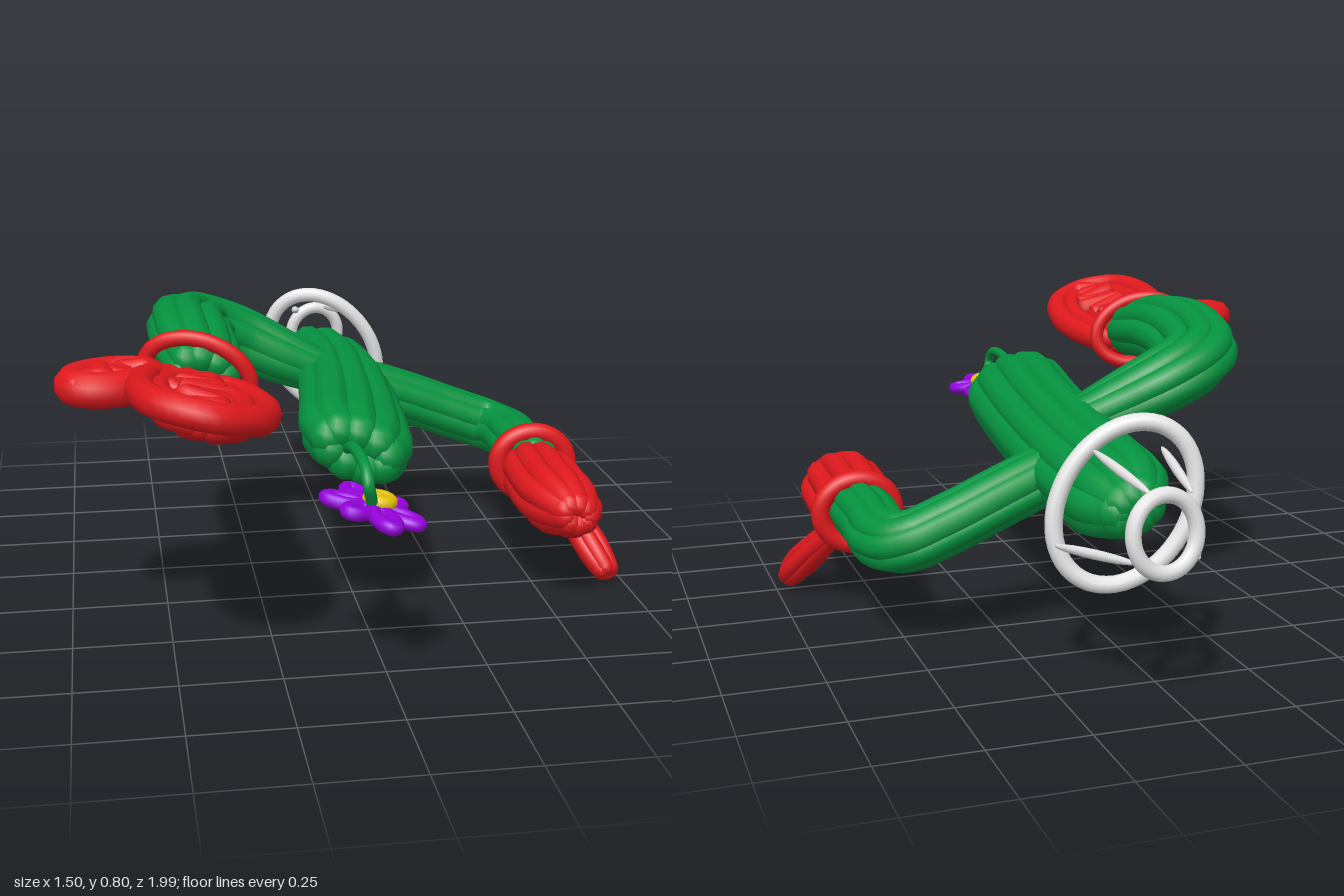
import * as THREE from 'three';
import { mergeGeometries } from 'three/addons/utils/BufferGeometryUtils.js';

const mat = (name, color) => Object.assign(new THREE.MeshStandardMaterial({ color }), { name });
const V = (x, y, z) => new THREE.Vector3(x, y, z);
const vecs = (pts) => pts.map((p) => (p.isVector3 ? p : V(...p)));

// Soft round-ended strand along a smooth path
function strand(pts, r, closed = false, segs = 40) {
  const curve = new THREE.CatmullRomCurve3(vecs(pts), closed);
  const parts = [new THREE.TubeGeometry(curve, segs, r, 10, closed)];
  if (!closed) {
    for (const t of [0, 1]) {
      const p = curve.getPointAt(t);
      parts.push(new THREE.SphereGeometry(r, 10, 8).translate(p.x, p.y, p.z));
    }
  }
  return mergeGeometries(parts);
}

// Strand tapering to a point at both ends
function spike(a, b, r) {
  const axis = b.clone().sub(a), mid = a.clone().add(b).multiplyScalar(0.5);
  const q = new THREE.Quaternion().setFromUnitVectors(V(0, 1, 0), axis.clone().normalize());
  return new THREE.SphereGeometry(1, 8, 12).scale(r, axis.length() / 2, r)
    .applyQuaternion(q).translate(mid.x, mid.y, mid.z);
}

// Ribbed limb: strands set around an oval that follows the path, rounded in towards the ends
function bundle(pts, a, b, r, n, { pinch = [0.7, 0.8], ramp = [0.1, 0.1], flare = 0, up = V(0.41, 0.91, 0) }) {
  const curve = new THREE.CatmullRomCurve3(vecs(pts));
  const steps = 18, ribs = [];
  for (let k = 0; k < n; k++) {
    const ang = ((k + 0.5) / n) * Math.PI * 2, path = [];
    for (let i = 0; i <= steps; i++) {
      const t = i / steps, tan = curve.getTangentAt(t);
      const side = up.clone().cross(tan).normalize();
      const top = tan.clone().cross(side);
      const e0 = Math.max(0, 1 - t / ramp[0]), e1 = Math.max(0, 1 - (1 - t) / ramp[1]);
      const s = 1 - (1 - pinch[0]) * e0 * e0 - (1 - pinch[1]) * e1 * e1;
      path.push(curve.getPointAt(t)
        .addScaledVector(side, a * s * (1 + flare * t) * Math.cos(ang))
        .addScaledVector(top, b * s * Math.sin(ang)));
    }
    ribs.push(strand(path, r));
  }
  return mergeGeometries(ribs);
}

// Maps local (across, height, along) to the model
function frame(o, across, along) {
  const u = V(...across).normalize(), l = V(...along).normalize();
  const h = l.clone().cross(u).normalize();
  return (s, y, d) => V(...o).addScaledVector(u, s).addScaledVector(h, y).addScaledVector(l, d);
}

// Closed oval strand lying in a frame
function oval(f, a, b, r, y = 0) {
  const pts = [];
  for (let i = 0; i < 16; i++) {
    const t = (i / 16) * Math.PI * 2;
    pts.push(f(a * Math.cos(t), y, b * Math.sin(t)));
  }
  return strand(pts, r, true, 56);
}

// Uneven zigzag filling of an oval
function zigzag(f, a, b, r, turns, y) {
  const pts = [];
  for (let i = 0; i <= turns; i++) {
    const d = -1 + (2 * i) / turns;
    const w = a * Math.sqrt(Math.max(0.1, 1 - d * d)) * (0.8 + 0.2 * Math.sin(i * 2.3));
    pts.push(f(i % 2 ? w : -w, y + 0.008 * Math.sin(i * 1.7), d * b));
  }
  return strand(pts, r, false, 120);
}

export function createModel() {
  const green = mat('cactus green', 0x059440), red = mat('glove red', 0xe0191d);
  const white = mat('pot white', 0xe4e4e4), purple = mat('petal purple', 0x9602dc);
  const yellow = mat('flower yellow', 0xe6c208);
  const root = new THREE.Group();
  root.name = 'cactus';
  const add = (name, material, ...geos) => {
    const mesh = new THREE.Mesh(mergeGeometries(geos), material);
    mesh.name = name;
    root.add(mesh);
  };

  // Trunk and bent arms
  add('trunk', green, bundle([[0.046, 0.432, -0.695], [0.05, 0.465, -0.3], [0.018, 0.485, 0.1], [-0.038, 0.505, 0.535]],
    0.089, 0.052, 0.05, 9, { pinch: [0.5, 0.72], flare: 0.2 }));
  add('rightArm', green, bundle([[0.0, 0.51, -0.13], [-0.14, 0.57, -0.15], [-0.27, 0.63, -0.165], [-0.37, 0.67, -0.12],
    [-0.405, 0.695, 0.0], [-0.41, 0.708, 0.18], [-0.4, 0.68, 0.4]], 0.078, 0.05, 0.042, 8, { pinch: [0.3, 0.7], ramp: [0.45, 0.2] }));
  add('leftArm', green, bundle([[0.1, 0.44, -0.31], [0.25, 0.385, -0.33], [0.4, 0.325, -0.34], [0.51, 0.285, -0.33],
    [0.55, 0.28, -0.25], [0.55, 0.285, -0.12], [0.555, 0.285, 0.05]], 0.047, 0.04, 0.038, 8, { pinch: [0.8, 0.85] }));

  // Open mitten on the right hand: padded palm inside a thick rim
  const palm = frame([-0.425, 0.692, 0.7], [1, -0.24, 0], [0, 0.13, 1]);
  add('rightMittenRim', red, strand([palm(-0.1, 0, -0.24), palm(-0.135, 0, -0.08), palm(-0.142, 0, 0.08), palm(-0.105, 0, 0.21),
    palm(0, 0, 0.258), palm(0.1, 0, 0.2), palm(0.145, 0, 0.06), palm(0.142, 0, -0.12), palm(0.1, 0, -0.24), palm(0, 0, -0.275)],
    0.036, true, 60));
  add('rightMittenPalm', red, zigzag(palm, 0.075, 0.22, 0.03, 15, 0.008),
    oval(palm, 0.1, 0.22, 0.028), oval(palm, 0.045, 0.16, 0.03, -0.01));
  add('rightMittenBack', red, bundle([[-0.42, 0.645, 0.43], [-0.43, 0.65, 0.6], [-0.425, 0.685, 0.86]],
    0.09, 0.025, 0.034, 8, { pinch: [0.6, 0.4], ramp: [0.15, 0.25], up: V(0.24, 0.95, 0) }));
  const thumbR = frame([-0.625, 0.685, 0.485], [0.72, -0.04, 0.69], [-0.8, 0.02, 0.6]);
  add('rightThumb', red, oval(thumbR, 0.066, 0.1, 0.045), zigzag(thumbR, 0.035, 0.11, 0.032, 7, 0.012));
  const wristR = frame([-0.415, 0.67, 0.405], [0.95, -0.3, 0.2], [0.25, 0.88, 0.2]);
  add('rightCuff', red, oval(wristR, 0.135, 0.095, 0.02));

  // Closed mitten on the left hand
  add('leftMitten', red, bundle([[0.555, 0.275, 0.05], [0.545, 0.27, 0.2], [0.54, 0.27, 0.32], [0.548, 0.275, 0.46]],
    0.084, 0.06, 0.036, 9, { pinch: [0.5, 0.4], ramp: [0.35, 0.35] }));
  add('leftThumb', red, bundle([[0.6, 0.225, 0.07], [0.65, 0.14, 0.17], [0.7, 0.042, 0.285]],
    0.042, 0.022, 0.025, 6, { pinch: [0.2, 0.55], ramp: [0.8, 0.3], up: V(0.7, 0.5, 0.3) }));
  const wristL = frame([0.555, 0.275, 0.03], [1, -0.1, 0.05], [0.1, 1, 0]);
  add('leftCuff', red, oval(wristL, 0.1, 0.09, 0.027));

  // Open wire pot around the base
  const rim = frame([0.06, 0.44, -0.695], [1, -0.1, 0.19], [-0.18, 1, 0.1]);
  const foot = frame([0.07, 0.44, -0.965], [1, 0, -0.1], [0, 1, 0.12]);
  add('potRim', white, oval(rim, 0.17, 0.195, 0.022));
  add('potFoot', white, oval(foot, 0.08, 0.088, 0.019));
  add('potSpokes', white, ...[
    [[-0.085, 0.37, -0.74], [-0.02, 0.37, -0.95]], [[-0.025, 0.575, -0.71], [0, 0.525, -0.95]],
    [[0.14, 0.575, -0.69], [0.1, 0.53, -0.95]], [[0.235, 0.35, -0.68], [0.14, 0.38, -0.97]],
  ].map(([a, b]) => spike(V(...a), V(...b), 0.012)));

  // Face on the underside
  [[-0.08, 0.412], [0.038, 0.368]].forEach(([x, y], i) => {
    const f = frame([x, y, 0.21], [0.93, -0.38, 0], [0, 0, 1]);
    add(i ? 'leftEye' : 'rightEye', white, oval(f, 0.03, 0.05, 0.017));
  });
  add('mouth', red, strand([[-0.06, 0.40, 0.08], [-0.02, 0.38, 0.04], [0.04, 0.36, 0.04], [0.08, 0.35, 0.08]], 0.008));
  add('teeth', white, spike(V(-0.05, 0.39, -0.05), V(0.08, 0.345, -0.06), 0.009));

  // Flower hanging from the top
  add('flowerStem', green, strand([[-0.065, 0.51, 0.55], [-0.07, 0.545, 0.65], [-0.07, 0.56, 0.75], [-0.068, 0.55, 0.83],
    [-0.066, 0.52, 0.858], [-0.055, 0.475, 0.84]], 0.014));
  const bloom = frame([-0.045, 0.449, 0.81], [1, -0.22, 0], [0, 0, 1]);
  const petals = [[-0.045, -0.13], [0.078, -0.055], [0.1, 0.082], [0.022, 0.142], [-0.12, -0.025], [-0.075, 0.07]];
  add('petals', purple, ...petals.map(([x, z]) => {
    const len = Math.hypot(x, z), dx = x / len, dz = z / len, pts = [];
    for (let i = 0; i < 10; i++) {
      const t = (i / 10) * Math.PI * 2;
      const d = len * 0.57 + len * 0.36 * Math.cos(t), w = 0.021 * Math.sin(t);
      pts.push(bloom(dx * d - dz * w, 0, dz * d + dx * w));
    }
    return strand(pts, 0.017, true);
  }));
  add('flowerCentre', yellow, strand([0, 1, 2, 3, 4, 5].map((i) =>
    bloom(0.01 + 0.024 * Math.cos(i * Math.PI / 3), 0.02, 0.024 * Math.sin(i * Math.PI / 3))), 0.018, true),
    new THREE.SphereGeometry(0.018, 10, 8).translate(-0.035, 0.468, 0.81));
  return root;
}
